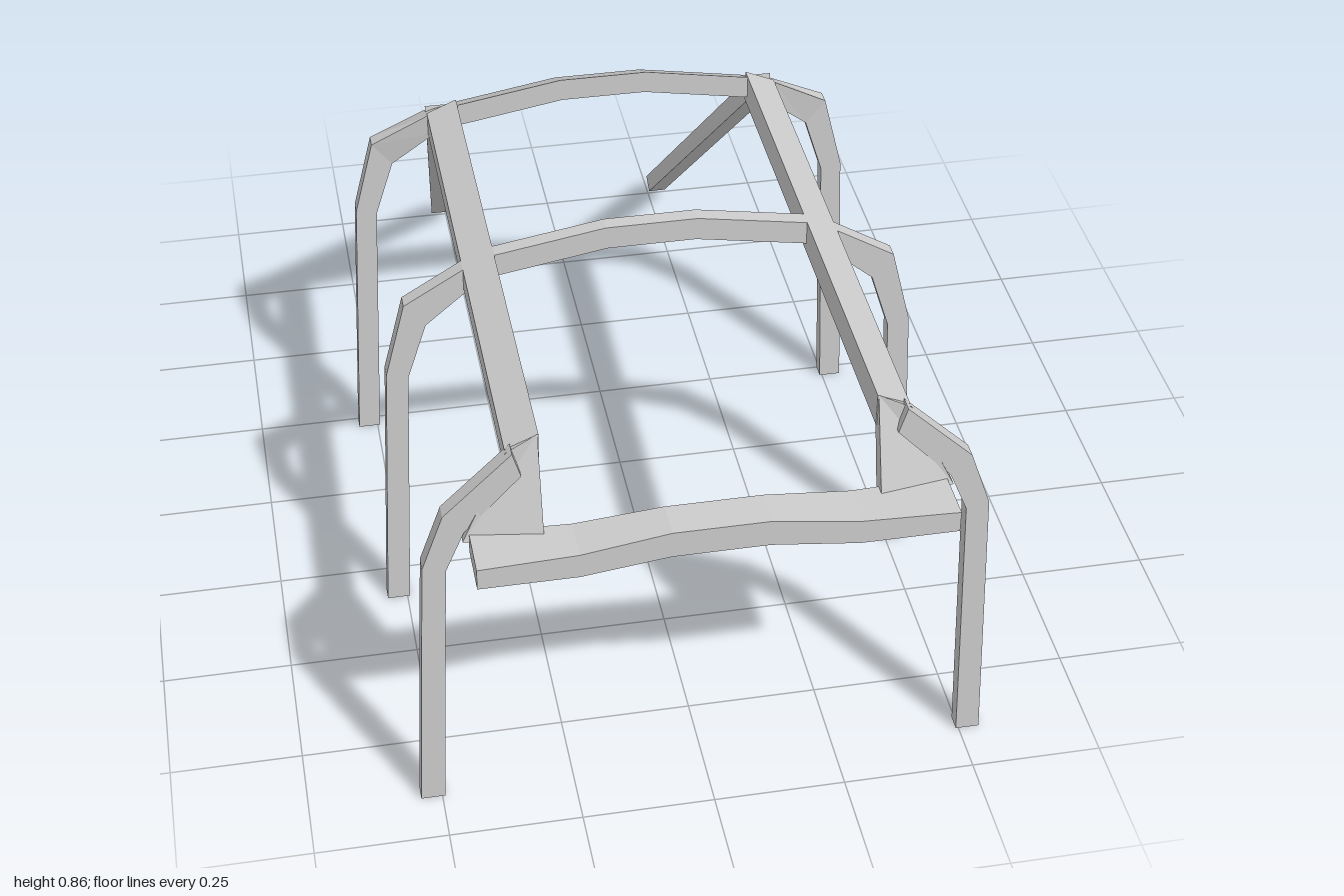
import * as THREE from 'three';

const material = new THREE.MeshStandardMaterial({ color: 0xcccccc, flatShading: true });

// Skin a bar through four-cornered cross-sections, capped at both ends
function loft(name, sections) {
  const tris = [];
  const quad = (a, b, c, d) => tris.push([a, b, c], [a, c, d]);
  for (let i = 0; i < sections.length - 1; i++) {
    const s = sections[i], t = sections[i + 1];
    for (let k = 0; k < 4; k++) quad(s[k], s[(k + 1) % 4], t[(k + 1) % 4], t[k]);
  }
  const end = sections[sections.length - 1];
  quad(...[...sections[0]].reverse());
  quad(...end);
  // Turn the faces outwards whatever the order of the sections
  const v = tris.map((t) => t.map((p) => new THREE.Vector3(...p)));
  const volume = v.reduce((sum, [a, b, c]) => sum + a.dot(b.clone().cross(c)), 0);
  const points = v.flatMap(([a, b, c]) => (volume < 0 ? [a, c, b] : [a, b, c]));
  const geometry = new THREE.BufferGeometry().setFromPoints(points);
  geometry.computeVertexNormals();
  const mesh = new THREE.Mesh(geometry, material);
  mesh.name = name;
  return mesh;
}

const flip = (section) => section.map(([x, y, z]) => [-x, y, z]);
const fullWidth = (half) => [...half, ...[...half].reverse().map(flip)];

// Section of a hoop: outer and inner point, front and back depth, drop of the back edge
const hoopSection = ([ox, oy, ix, iy], zf, zb, drop = 0) => [
  [ox, oy, zf], [ox, oy - drop, zb], [ix, iy - drop, zb], [ix, iy, zf],
];

export function createModel() {
  const model = new THREE.Group();
  model.name = 'tubeFrame';

  const foot = [0.54, 0, 0.495, 0];
  const knee = [0.515, 0.57, 0.473, 0.56];
  const shoulder = [0.475, 0.73, 0.435, 0.68];
  const roof = [[0.36, 0.8, 0.345, 0.757], [0.3, 0.826, 0.3, 0.778], [0.088, 0.862, 0.085, 0.815]];

  // Middle hoop, an even bar from foot to foot
  const middle = [foot, knee, shoulder, ...roof].map((p) => hoopSection(p, 0.34, 0.31));
  model.add(loft('middleHoop', fullWidth(middle)));

  // Rear hoop, widening into a tilted roof bar
  const rear = [
    ...[foot, knee, shoulder].map((p) => hoopSection(p, -0.22, -0.25)),
    hoopSection(roof[0], -0.2, -0.262, 0.025),
    ...roof.slice(1).map((p) => hoopSection(p, -0.188, -0.264, 0.04)),
  ];
  model.add(loft('rearHoop', fullWidth(rear)));

  // Front cross bar, arched in the middle
  const crossBar = [[0.43, 0.6, 0.643, 0.9], [0.25, 0.6, 0.65, 0.916], [0.088, 0.621, 0.675, 0.928]]
    .map(([x, low, high, back]) => [
      [x, low, 1], [x, high, 1], [x, high, back], [x, low, back],
    ]);
  model.add(loft('frontCrossBar', fullWidth(crossBar)));

  // Parts that come in pairs
  const pairs = {
    FrontLeg: [foot, knee, [0.475, 0.685, 0.438, 0.645], [0.35, 0.808, 0.335, 0.757]]
      .map((p) => hoopSection(p, 0.9, 0.87)),
    RoofRail: [0.875, -0.21].map((z) => [
      [0.3, 0.826, z], [0.36, 0.8, z], [0.36, 0.755, z], [0.3, 0.76, z],
    ]),
    // Flared post from the rail down to the cross bar
    FrontPost: [
      [[0.302, 0.826, 0.875], [0.36, 0.8, 0.885], [0.36, 0.757, 0.865], [0.302, 0.76, 0.865]],
      [[0.302, 0.63, 0.937], [0.442, 0.63, 0.908], [0.442, 0.63, 0.876], [0.302, 0.63, 0.9]],
    ],
    // Sloping brace behind the rear hoop
    RearBrace: [
      [[0.322, 0.795, -0.245], [0.36, 0.795, -0.245], [0.36, 0.75, -0.235], [0.322, 0.75, -0.235]],
      [[0.246, 0.05, -1], [0.284, 0.05, -1], [0.286, 0.024, -0.973], [0.248, 0.024, -0.973]],
    ],
  };
  for (const [name, sections] of Object.entries(pairs)) {
    model.add(loft('left' + name, sections));
    model.add(loft('right' + name, sections.map(flip)));
  }
  return model;
}
